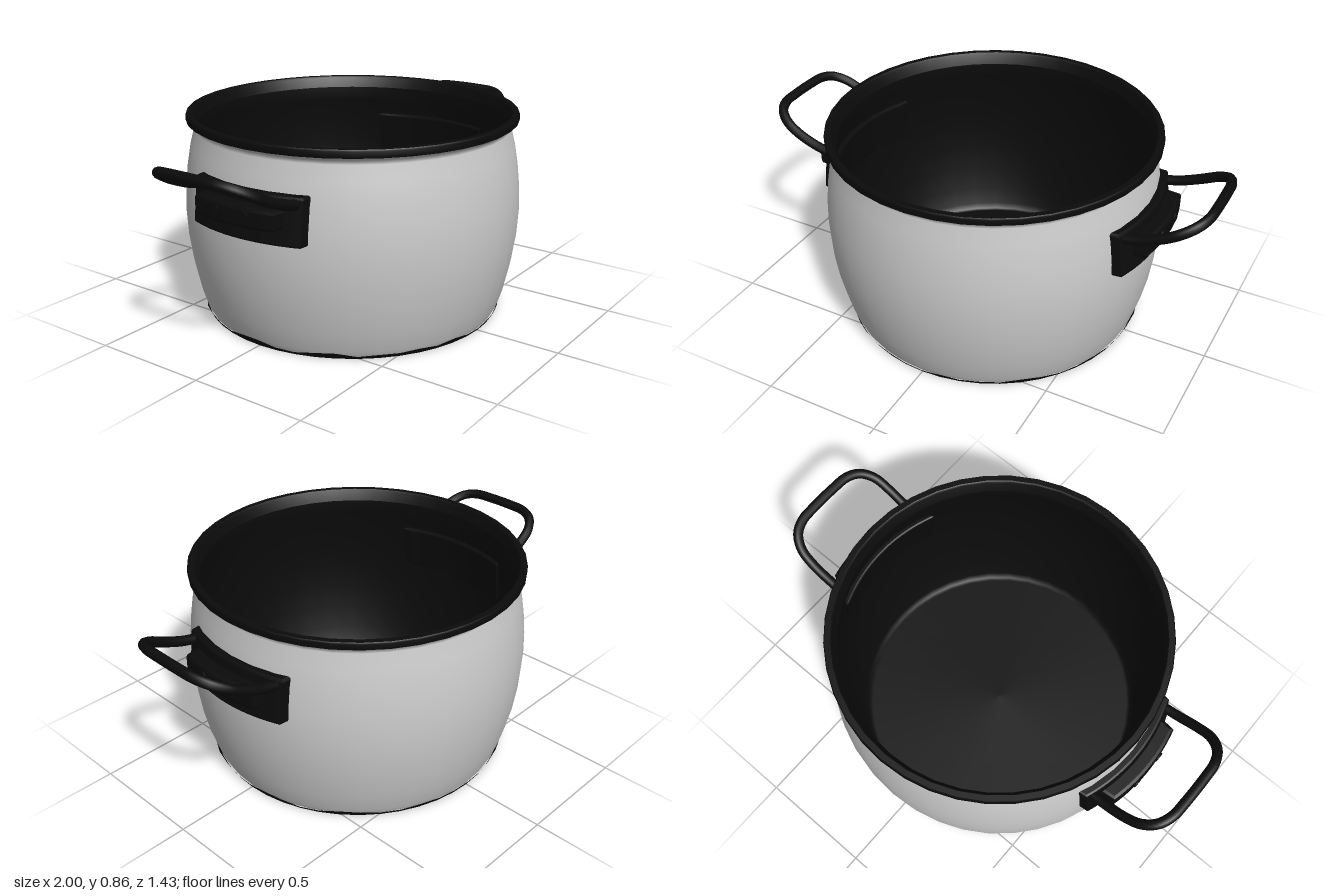
import * as THREE from 'three';

const steel = new THREE.MeshStandardMaterial({ color: 0xcccccc });
const black = new THREE.MeshStandardMaterial({ color: 0x0b0b0b });
const blackThin = new THREE.MeshStandardMaterial({ color: 0x0b0b0b, side: THREE.DoubleSide });
const SEGMENTS = 40;

function add(parent, name, geometry, material) {
  const mesh = new THREE.Mesh(geometry, material);
  mesh.name = name;
  parent.add(mesh);
  return mesh;
}

const toPoints = (list) => list.map(([r, y]) => new THREE.Vector2(r, y));
const lathe = (list) => new THREE.LatheGeometry(toPoints(list), SEGMENTS);

// Bulging wall, shared by the outer body and the lining
const WALL = [[0.632, 0.005], [0.645, 0.03], [0.67, 0.11], [0.694, 0.22], [0.709, 0.33],
  [0.715, 0.44], [0.711, 0.54], [0.7, 0.64], [0.684, 0.73], [0.667, 0.795]];

// Curved block that follows the pot wall on the +x side
function wallBlock(inner, outer, halfWidth, y0, y1, bevel) {
  const a0 = Math.asin((halfWidth - bevel) / inner);
  const a1 = Math.asin((halfWidth - bevel) / outer);
  const shape = new THREE.Shape();
  shape.absarc(0, 0, outer - bevel, -a1, a1, false);
  shape.absarc(0, 0, inner + bevel, a0, -a0, true);
  const geometry = new THREE.ExtrudeGeometry(shape, {
    depth: y1 - y0 - 2 * bevel, curveSegments: 12,
    bevelThickness: bevel, bevelSize: bevel, bevelSegments: 2,
  });
  geometry.rotateX(-Math.PI / 2);
  geometry.translate(0, y0 + bevel, 0);
  return geometry;
}

// Lower edge band with an uneven top, closing onto the base
function baseBand() {
  const geometry = new THREE.CylinderGeometry(0.648, 0.632, 0.028, 48, 1, true);
  const p = geometry.attributes.position;
  for (let i = 0; i < p.count; i++) {
    const top = p.getY(i) > 0;
    const k = i % 49 % 48;
    const h = top ? 0.01 + 0.024 * Math.abs(Math.sin(k * 2.3) * Math.cos(k * 0.7)) : 0;
    const r = 0.636 + h * 0.52;
    const a = (k / 48) * Math.PI * 2;
    p.setXYZ(i, r * Math.sin(a), h, r * Math.cos(a));
  }
  geometry.computeVertexNormals();
  return geometry;
}

function createHandle() {
  const handle = new THREE.Group();

  // Mounting plate, leaning inward with the wall toward its top
  const plate = wallBlock(0.675, 0.742, 0.272, 0.487, 0.68, 0.01);
  const p = plate.attributes.position;
  for (let i = 0; i < p.count; i++) p.setX(i, p.getX(i) - (p.getY(i) - 0.53) * 0.13);
  plate.computeVertexNormals();
  add(handle, 'mountingPlate', plate, black);

  // Raised grip pad with rounded ends
  add(handle, 'gripPad', wallBlock(0.7, 0.787, 0.2, 0.55, 0.637, 0.016), black);

  // Two rivets on the pad
  for (const z of [-0.07, 0.07]) {
    const rivet = add(handle, 'rivet', new THREE.CylinderGeometry(0.021, 0.021, 0.012, 16), black);
    rivet.rotation.z = Math.PI / 2;
    rivet.position.set(0.782, 0.6, z);
  }

  // Bent wire loop, rising outward
  const half = [[0.65, 0.645, 0.235], [0.74, 0.665, 0.237], [0.83, 0.7, 0.237], [0.9, 0.737, 0.226],
    [0.95, 0.765, 0.19], [0.974, 0.778, 0.135], [0.979, 0.781, 0.06]];
  const path = [...half, ...half.map(([x, y, z]) => [x, y, -z]).reverse()]
    .map((v) => new THREE.Vector3(...v));
  const loop = new THREE.TubeGeometry(new THREE.CatmullRomCurve3(path), 64, 0.021, 10, false);
  add(handle, 'wireLoop', loop, blackThin);
  return handle;
}

export function createModel() {
  const pot = new THREE.Group();
  pot.name = 'cookingPot';

  // Outer wall with a flared lip under the rim
  add(pot, 'body', lathe([...WALL, [0.668, 0.81], [0.685, 0.82], [0.692, 0.83]]), steel);

  // Dark lining: wall and floor
  const inner = WALL.map(([r, y]) => [r - 0.016, y + 0.015]).reverse();
  add(pot, 'lining', lathe([[0.668, 0.84], ...inner, [0.6, 0.018], [0, 0.018]]), black);

  // Rim band
  add(pot, 'rim', lathe([[0.665, 0.825], [0.692, 0.825], [0.692, 0.825], [0.699, 0.83],
    [0.699, 0.853], [0.695, 0.859], [0.695, 0.859], [0.672, 0.859], [0.672, 0.859],
    [0.665, 0.853], [0.65, 0.81]]), black);

  // Base disc and its uneven edge
  const base = add(pot, 'base', new THREE.CircleGeometry(0.637, 48), black);
  base.rotation.x = Math.PI / 2;
  add(pot, 'baseEdge', baseBand(), blackThin);

  // Handles on both sides
  ['leftHandle', 'rightHandle'].forEach((name, i) => {
    const handle = createHandle();
    handle.name = name;
    handle.rotation.y = i * Math.PI;
    pot.add(handle);
  });
  return pot;
}
